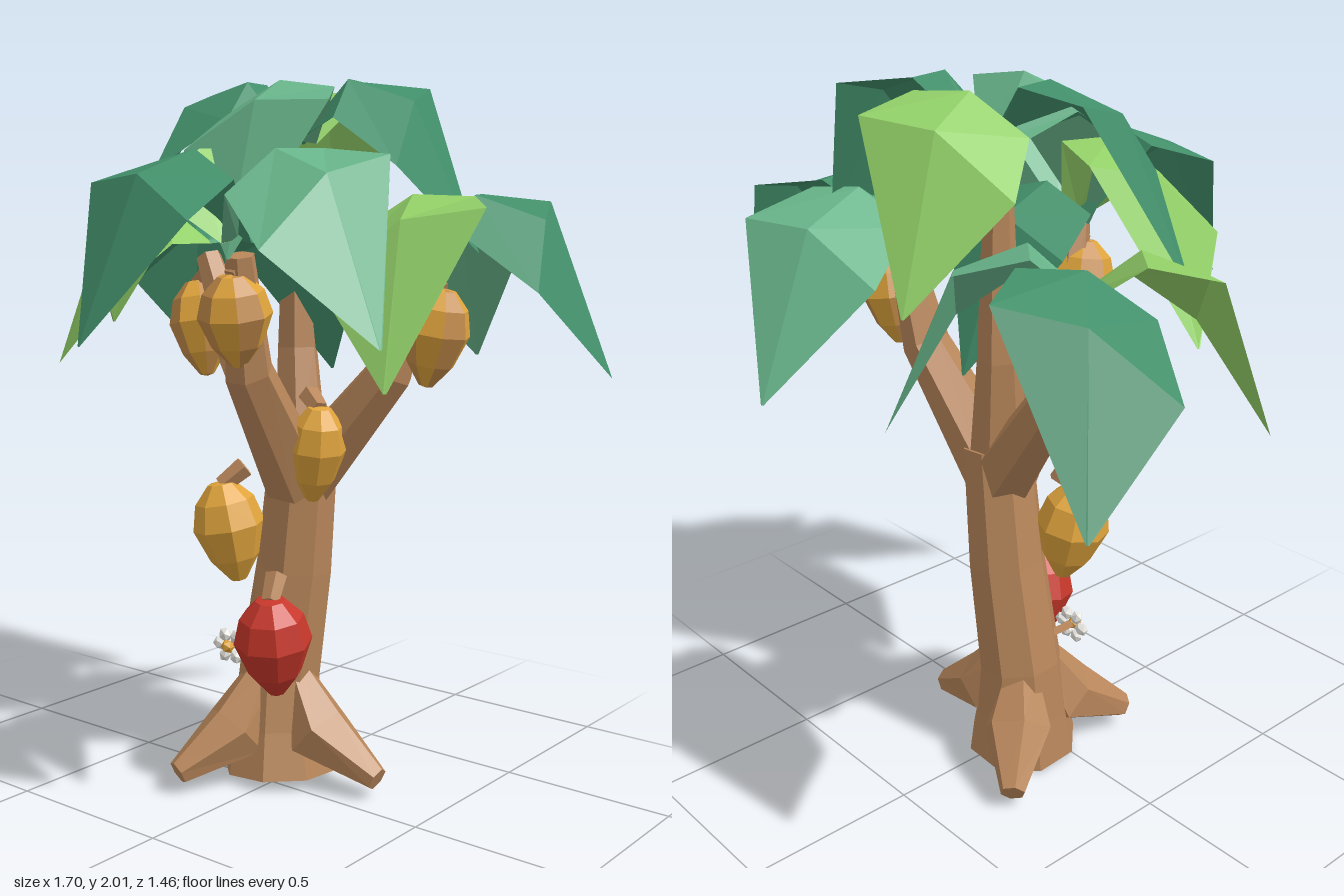
import * as THREE from 'three';

const V = (a) => new THREE.Vector3(...a);
const UP = new THREE.Vector3(0, 1, 0);
const mat = (name, color, side = THREE.FrontSide) => {
  const m = new THREE.MeshStandardMaterial({ color, flatShading: true, side });
  m.name = name;
  return m;
};

function build(pos, idx) {
  const g = new THREE.BufferGeometry();
  g.setAttribute('position', new THREE.Float32BufferAttribute(pos, 3));
  g.setIndex(idx);
  g.computeVertexNormals();
  return g;
}

// Faceted limb: rings of n sides along a path, capped at both ends
function limb(points, radii, n) {
  const pts = points.map(V), pos = [], idx = [];
  pts.forEach((p, i) => {
    const dir = pts[Math.min(i + 1, pts.length - 1)].clone().sub(pts[Math.max(i - 1, 0)]).normalize();
    const q = new THREE.Quaternion().setFromUnitVectors(UP, dir);
    for (let k = 0; k < n; k++) {
      const a = ((k + 0.5) / n) * Math.PI * 2;
      const v = new THREE.Vector3(Math.sin(a) * radii[i], 0, Math.cos(a) * radii[i]).applyQuaternion(q).add(p);
      pos.push(v.x, v.y, v.z);
    }
  });
  const last = (pts.length - 1) * n;
  for (let i = 0; i < last; i += n)
    for (let k = 0; k < n; k++) {
      const a = i + k, b = i + ((k + 1) % n);
      idx.push(a, b, b + n, a, b + n, a + n);
    }
  for (let k = 1; k < n - 1; k++) {
    idx.push(0, k + 1, k);
    idx.push(last, last + k, last + k + 1);
  }
  return build(pos, idx);
}

// Drooping folded leaf; leaves that point sideways are rolled so their rear edge is high
function leaf(base, tip) {
  const dx = tip[0] - base[0], dz = tip[2] - base[2], len = Math.hypot(dx, dz);
  const sx = -dz / len, sz = dx / len, pos = [], idx = [];
  const roll = THREE.MathUtils.clamp((-2 * dx) / len, -1, 1);
  const drop = base[1] - tip[1];
  // along, half width, then ridge height, edge height and edge roll, above the tip
  const rows = [
    [0, 0.055, drop, drop - 0.01, 0],
    [0.28, 0.16, 0.475, 0.42, 0.06],
    [0.64, 0.21, 0.41, 0.345, 0.115],
    [1, 0.004, 0, 0, 0],
  ];
  for (const [t, w, ridge, edge, tilt] of rows)
    for (const s of [-1, 0, 1])
      pos.push(base[0] + dx * t + sx * w * s, tip[1] + (s ? edge + s * roll * tilt : ridge), base[2] + dz * t + sz * w * s);
  for (let r = 0; r < 3; r++)
    for (let c = 0; c < 2; c++) {
      const a = r * 3 + c;
      idx.push(a, a + 1, a + 4, a, a + 4, a + 3);
    }
  return build(pos, idx);
}

export function createModel() {
  const root = new THREE.Group();
  root.name = 'podTree';
  const bark = mat('bark', 0xb9875b);
  const gold = mat('gold', 0xe0a43c);
  const amber = mat('amber', 0xc48c4a);
  const red = mat('red', 0xc8372b);
  const white = mat('white', 0xf8f6f0);
  const greens = {
    dark: mat('darkGreen', 0x43906b, THREE.DoubleSide),
    mint: mat('mintGreen', 0x68b48a, THREE.DoubleSide),
    lime: mat('limeGreen', 0x92d068, THREE.DoubleSide),
  };
  const add = (name, geo, material, parent = root) => {
    const m = new THREE.Mesh(geo, material);
    m.name = name;
    parent.add(m);
    return m;
  };

  // Trunk and central stem
  add('trunk', limb([[-0.03, 0.005, -0.07], [-0.04, 0.14, -0.08], [-0.045, 0.3, -0.09], [0, 0.62, -0.1], [0.035, 0.97, -0.1]],
    [0.165, 0.14, 0.122, 0.112, 0.1], 8), bark);
  add('centralStem', limb([[0.02, 0.9, -0.11], [-0.02, 1.25, -0.14], [-0.025, 1.8, -0.14]], [0.085, 0.06, 0.035], 6), bark);

  // Roots
  for (const [x, z] of [[0.31, -0.09], [-0.16, 0.23], [-0.26, -0.31]]) {
    const at = (t, y) => [-0.04 + (x + 0.04) * t, y, -0.08 + (z + 0.08) * t];
    add('root', limb([at(0.18, 0.3), at(0.42, 0.14), at(1, 0.047)], [0.05, 0.1, 0.036], 6), bark);
  }

  // Branches
  const branches = [
    [[0.01, 0.88, -0.1], [-0.27, 1.2, -0.18], [-0.44, 1.5, -0.23]],
    [[0.04, 0.88, -0.1], [0.31, 1.2, -0.13], [0.385, 1.5, -0.15]],
    [[0.04, 0.88, -0.06], [0.075, 1.21, 0.19], [0.105, 1.52, 0.26]],
  ];
  for (const path of branches) add('branch', limb(path, [0.095, 0.068, 0.04], 6), bark);

  // Leaves, grouped by the limb they grow from: tone, tip
  const crowns = [
    { base: [-0.44, 1.55, -0.23], leaves: [['dark', -0.85, 1.18, -0.61], ['lime', -0.74, 1.18, 0.12], ['mint', -0.13, 1.2, -0.6]] },
    { base: [0.39, 1.55, -0.15], leaves: [['dark', 0.85, 1.2, -0.365], ['mint', 0.22, 1.2, -0.73], ['lime', 0.59, 1.2, 0.3]] },
    { base: [0.1, 1.56, 0.26], leaves: [['dark', 0, 1.31, 0.73], ['mint', 0.62, 1.31, 0.36], ['lime', -0.46, 1.32, 0.16], ['dark', 0.06, 1.19, -0.2]] },
    { base: [-0.02, 1.83, -0.14], leaves: [['dark', -0.53, 1.52, 0.04], ['lime', -0.19, 1.5, -0.58], ['dark', 0.46, 1.52, -0.33], ['mint', 0.1, 1.51, 0.3]] },
  ];
  for (const { base, leaves } of crowns) {
    const crown = new THREE.Group();
    crown.name = 'leafCrown';
    root.add(crown);
    for (const [tone, ...tip] of leaves) add('leaf', leaf(base, tip), greens[tone], crown);
  }

  // Pods: centre, radius, height, alternating rib colours and the point the stalk grows from
  const profile = [[0, -0.5], [0.22, -0.48], [0.68, -0.26], [1, 0.06], [0.82, 0.31], [0.38, 0.48], [0, 0.5]];
  const pods = [
    [[0.05, 0.42, 0.055], 0.112, 0.3, [red, red], [0.04, 0.62, 0.03]],
    [[-0.14, 0.72, 0.02], 0.105, 0.3, [gold, gold], [-0.11, 0.91, -0.01]],
    [[0.14, 0.97, -0.02], 0.085, 0.28, [gold, gold], [0.1, 1.13, -0.04]],
    [[-0.46, 1.28, -0.22], 0.1, 0.3, [gold, amber], [-0.41, 1.47, -0.22]],
    [[0.45, 1.3, -0.13], 0.095, 0.27, [gold, amber], [0.38, 1.46, -0.14]],
    [[0.09, 1.35, 0.26], 0.1, 0.25, [gold, amber], [0.1, 1.49, 0.25]],
  ];
  for (const [c, r, h, ribs, from] of pods) {
    const geo = new THREE.LatheGeometry(profile.map(([x, y]) => new THREE.Vector2(x * r, y * h)), 8);
    const count = (profile.length - 1) * 6;
    for (let k = 0; k < 8; k++) geo.addGroup(k * count, count, k % 2);
    // the foot of each pod leans in towards the trunk
    const axis = new THREE.Vector3(c[0], 0, c[2] + 0.1).setLength(0.18).add(UP).normalize();
    const pod = add('pod', geo, ribs);
    pod.position.set(...c);
    pod.quaternion.setFromUnitVectors(UP, axis);
    const top = V(c).addScaledVector(axis, h * 0.46).toArray();
    add('podStalk', limb([top, from], [0.026, 0.032], 5), bark);
  }

  // Small flower on the trunk
  const flower = new THREE.Group();
  flower.name = 'flower';
  flower.position.set(-0.115, 0.39, 0.05);
  root.add(flower);
  for (let i = 0; i < 6; i++) {
    const a = (i / 6) * Math.PI * 2;
    const petal = add('petal', new THREE.IcosahedronGeometry(0.024), white, flower);
    petal.position.set(Math.cos(a) * 0.041, Math.sin(a) * 0.034, 0);
    petal.rotation.z = a;
    petal.scale.set(0.95, 0.85, 0.7);
  }
  add('flowerHeart', new THREE.IcosahedronGeometry(0.021), gold, flower).position.z = 0.012;
  const stalk = add('flowerStalk', new THREE.CylinderGeometry(0.012, 0.012, 0.1, 5), bark, flower);
  stalk.rotation.x = Math.PI / 2;
  stalk.position.z = -0.055;
  return root;
}
